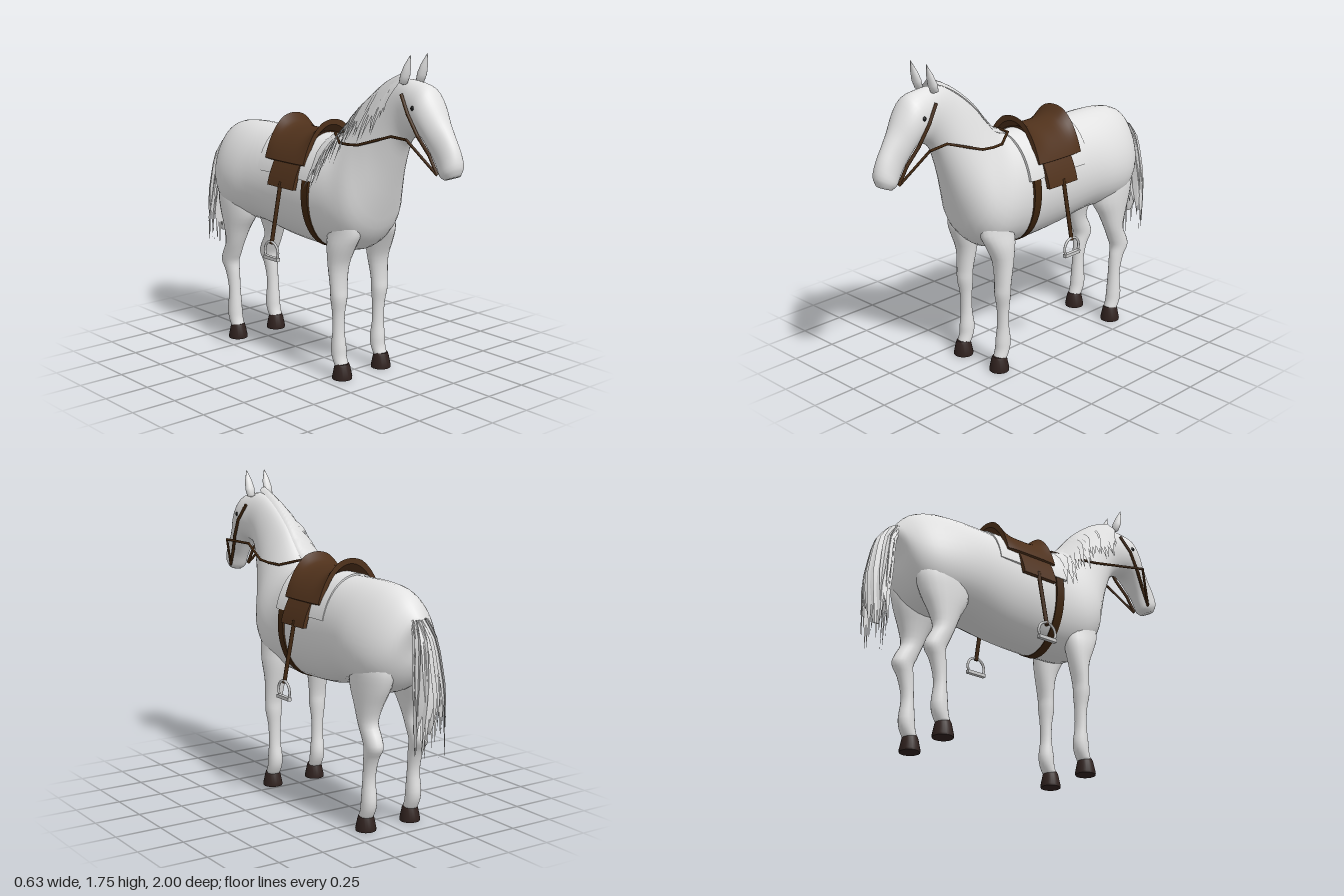
import * as THREE from 'three';
import { mergeGeometries, toCreasedNormals } from 'three/addons/utils/BufferGeometryUtils.js';

const V = (x, y, z) => new THREE.Vector3(x, y, z);

// Smooth skin through sections [z1, y1, z2, y2, halfWidth, centreX, pear]; pear narrows the first edge
function loft(sections, segs = 28) {
  const a = new THREE.CatmullRomCurve3(sections.map(s => V(s[0], s[1], s[4])));
  const b = new THREE.CatmullRomCurve3(sections.map(s => V(s[2], s[3], s[5] || 0)));
  const pears = new THREE.CatmullRomCurve3(sections.map((s, i) => V(s[6] || 0, i, 0)));
  const n = (sections.length - 1) * 3, pos = [], idx = [];
  for (let i = 0; i <= n; i++) {
    const p = a.getPoint(i / n), q = b.getPoint(i / n), pear = pears.getPoint(i / n).x;
    for (let j = 0; j < segs; j++) {
      const t = j / segs * Math.PI * 2, c = Math.cos(t) / 2;
      pos.push(q.z + Math.sin(t) * p.z * (1 - pear * c * 2),
        (p.y + q.y) / 2 + c * (p.y - q.y), (p.x + q.x) / 2 + c * (p.x - q.x));
      if (i < n) {
        const k = i * segs + j, m = i * segs + (j + 1) % segs;
        idx.push(k, k + segs, m, m, k + segs, m + segs);
      }
    }
  }
  // end caps
  for (const [i, flip] of [[0, false], [n, true]]) {
    const p = a.getPoint(i / n), q = b.getPoint(i / n), centre = pos.length / 3;
    pos.push(q.z, (p.y + q.y) / 2, (p.x + q.x) / 2);
    for (let j = 0; j < segs; j++) {
      const k = i * segs + j, m = i * segs + (j + 1) % segs;
      flip ? idx.push(centre, m, k) : idx.push(centre, k, m);
    }
  }
  return surface(pos, idx);
}

function surface(pos, idx) {
  const g = new THREE.BufferGeometry();
  g.setAttribute('position', new THREE.Float32BufferAttribute(pos, 3));
  g.setIndex(idx);
  g.computeVertexNormals();
  return g;
}

// Flat lock of hair along a path, tapering to a point
function ribbon(points, width, dir) {
  const curve = new THREE.CatmullRomCurve3(points), n = 8, pos = [], idx = [];
  for (let i = 0; i <= n; i++) {
    const t = i / n, p = curve.getPoint(t);
    const w = width * (t < 0.6 ? 1 : (1 - t) / 0.4) / 2;
    for (const s of [-1, 1]) pos.push(p.x + dir.x * w * s, p.y + dir.y * w * s, p.z + dir.z * w * s);
    if (i < n) { const k = i * 2; idx.push(k, k + 1, k + 2, k + 1, k + 3, k + 2); }
  }
  return surface(pos, idx);
}

// Curved sheet lying over the back, from zBack forward
function arch(rx, ry, thick, lowY, zBack, depth) {
  const a = Math.asin(lowY / ry), s = new THREE.Shape();
  s.absellipse(0, 0, rx, ry, a, Math.PI - a, false);
  s.absellipse(0, 0, rx - thick, ry - thick, Math.PI - a, a, true);
  const g = new THREE.ExtrudeGeometry(s, { depth, steps: 12, bevelEnabled: false, curveSegments: 24 });
  return g.translate(0, 0.965, zBack);
}

// Move every vertex by a rule
function reshape(g, rule) {
  const p = g.attributes.position, v = V(0, 0, 0);
  for (let i = 0; i < p.count; i++) {
    rule(v.fromBufferAttribute(p, i));
    p.setXYZ(i, v.x, v.y, v.z);
  }
  return g;
}

// Straight rods joining a chain of points
function rods(points, r) {
  const parts = [];
  for (let i = 1; i < points.length; i++) {
    const d = points[i].clone().sub(points[i - 1]);
    const g = new THREE.CylinderGeometry(r, r, d.length() + r, 8);
    g.applyQuaternion(new THREE.Quaternion().setFromUnitVectors(V(0, 1, 0), d.clone().normalize()));
    const m = points[i].clone().add(points[i - 1]).multiplyScalar(0.5);
    parts.push(g.translate(m.x, m.y, m.z));
  }
  return mergeGeometries(parts);
}

export function createModel() {
  const horse = new THREE.Group();
  horse.name = 'horse';
  const mat = (name, color, side = THREE.FrontSide) => {
    const m = new THREE.MeshStandardMaterial({ color, side });
    m.name = name;
    return m;
  };
  const coat = mat('coat', 0xe2e2e2), hair = mat('hair', 0xdedede, THREE.DoubleSide);
  const cloth = mat('cloth', 0xe4e4e4), leather = mat('saddleLeather', 0x4f311b);
  const strap = mat('strapLeather', 0x40260f), horn = mat('hoofHorn', 0x30221f);
  const metal = mat('metal', 0xcccccc), black = mat('eyeBlack', 0x101010);
  const add = (name, geo, m) => {
    const mesh = new THREE.Mesh(geo, m);
    mesh.name = name;
    horse.add(mesh);
  };
  let seed = 7;
  const rand = () => (seed = (seed * 16807) % 2147483647) / 2147483647;

  // Rump, barrel and chest, then neck and head, in one skin
  const trunk = [
    [-.86, 1.10, -.81, .96, .03], [-.835, 1.14, -.79, .86, .11, 0, .3], [-.77, 1.21, -.73, .76, .175, 0, .25],
    [-.68, 1.25, -.64, .71, .215, 0, .2], [-.55, 1.265, -.52, .71, .232, 0, .16], [-.4, 1.265, -.4, .71, .224, 0, .08],
    [-.2, 1.26, -.2, .675, .212], [0, 1.255, 0, .662, .21], [.13, 1.265, .17, .665, .206, 0, .08],
    [.2, 1.29, .33, .69, .203, 0, .25], [.27, 1.36, .43, .78, .185, 0, .38], [.34, 1.44, .49, .92, .145, 0, .38]];
  const neckAndHead = [
    [.42, 1.51, .54, 1.06, .113, 0, .28], [.49, 1.56, .585, 1.18, .094, 0, .2], [.56, 1.60, .625, 1.27, .084, 0, .1],
    [.63, 1.615, .665, 1.315, .083], [.71, 1.61, .705, 1.335, .092], [.79, 1.59, .75, 1.34, .098],
    [.84, 1.53, .785, 1.32, .092], [.89, 1.445, .82, 1.27, .074], [.94, 1.37, .85, 1.22, .06],
    [.98, 1.30, .87, 1.18, .058], [1, 1.225, .885, 1.16, .058], [.985, 1.175, .91, 1.147, .04]];
  add('body', loft([...trunk, ...neckAndHead], 36), coat);

  // Leg sections: [y, zFront, zBack, halfWidth, x]
  const foreSections = [[1, .37, .23, .05, .11], [.9, .40, .21, .06, .115], [.8, .415, .195, .064, .122],
    [.72, .38, .2, .066, .133], [.62, .335, .22, .058, .14], [.5, .325, .245, .05, .145],
    [.44, .328, .245, .047, .145], [.36, .315, .25, .036, .143], [.25, .312, .25, .034, .142],
    [.17, .322, .238, .04, .14], [.12, .325, .245, .04, .14], [.07, .34, .27, .038, .14]];
  const hindSections = [[1, -.54, -.72, .07, .1], [.85, -.46, -.765, .092, .11], [.75, -.465, -.742, .083, .12],
    [.66, -.515, -.7, .065, .132], [.57, -.555, -.675, .05, .14], [.5, -.585, -.71, .047, .14],
    [.45, -.605, -.725, .045, .14], [.39, -.6, -.69, .038, .14], [.28, -.595, -.66, .034, .14],
    [.17, -.585, -.672, .04, .14], [.12, -.58, -.665, .04, .14], [.07, -.565, -.64, .038, .14]];

  for (const s of [1, -1]) {
    const side = s > 0 ? 'left' : 'right';
    for (const [kind, sections, z] of [['Fore', foreSections, .309], ['Hind', hindSections, -.602]]) {
      add(side + kind + 'Leg', loft(sections.map(([y, f, b, w, x]) => [f, y, b, y, w, x * s]), 20), coat);
      const hoof = new THREE.LatheGeometry([[0, 0], [.053, 0], [.054, .012], [.042, .07], [.036, .084], [0, .084]]
        .map(p => new THREE.Vector2(...p)), 20);
      add(side + kind + 'Hoof', toCreasedNormals(hoof.translate(s * .14, 0, z), .7), horn);
    }

    // Ear, flattened and leaning forward
    const ear = new THREE.LatheGeometry([[.002, 0], [.024, .01], [.028, .05], [.02, .1], [0, .162]]
      .map(p => new THREE.Vector2(...p)), 14);
    ear.scale(1, 1, .75).rotateX(.33).translate(s * .058, 1.592, .655);
    add(side + 'Ear', ear, coat);
    add(side + 'Eye', new THREE.SphereGeometry(.013, 12, 8).translate(s * .09, 1.49, .76), black);

    // Bridle cheek strap and rein
    add(side + 'CheekStrap', rods([V(s * .085, 1.545, .675), V(s * .101, 1.46, .735), V(s * .091, 1.36, .795),
      V(s * .068, 1.27, .855), V(s * .06, 1.185, .9)], .009), strap);
    add(side + 'Rein', rods([V(s * .06, 1.18, .9), V(s * .15, 1.345, .78), V(s * .1, 1.335, .62),
      V(s * .143, 1.27, .42), V(s * .138, 1.262, .34), V(s * .12, 1.258, .26), V(s * .06, 1.288, .16),
      V(0, 1.292, .155)], .007), strap);

    // Stirrup leather, iron arch and tread
    add(side + 'StirrupLeather', rods([V(s * .237, 1.01, -.08), V(s * .3, .69, -.08)], .011), strap);
    const iron = new THREE.TorusGeometry(.055, .007, 8, 24, Math.PI * 1.3);
    iron.rotateZ(-Math.PI * .15).rotateY(Math.PI / 2).translate(s * .302, .644, -.08);
    add(side + 'StirrupIron', iron, metal);
    add(side + 'StirrupTread', new THREE.BoxGeometry(.022, .018, .115).translate(s * .302, .608, -.08), metal);
  }

  // Saddle cloth, flaring flaps, and seat with raised pommel and cantle
  add('saddleCloth', toCreasedNormals(arch(.221, .307, .014, .08, -.31, .45), .6), cloth);
  const flaps = reshape(arch(.224, .313, .02, .022, -.18, .215), v => {
    v.x *= 1 + .11 * THREE.MathUtils.clamp((1.13 - v.y) / .14, 0, 1);
  });
  add('saddleFlaps', toCreasedNormals(flaps, .6), leather);
  const seat = reshape(arch(.24, .32, .025, .155, -.255, .32), v => {
    const t = Math.abs((v.z + .095) / .16);
    v.y += .06 * t ** 4 * THREE.MathUtils.clamp((v.y - 1.12) / .15, 0, 1);
    v.x *= 1 - .04 * t ** 4;
  });
  add('saddleSeat', toCreasedNormals(seat, .6), leather);

  // Girth band around the barrel
  const band = new THREE.Shape(), hole = new THREE.Path();
  band.absellipse(0, 0, .219, .305, 0, Math.PI * 2);
  hole.absellipse(0, 0, .2, .285, 0, Math.PI * 2);
  band.holes.push(hole);
  const girth = new THREE.ExtrudeGeometry(band, { depth: .05, bevelEnabled: false, curveSegments: 32 });
  add('girth', toCreasedNormals(girth.translate(0, .963, .065), .6), strap);

  // Mane: ragged locks falling from the crest to the right side
  const crest = new THREE.CatmullRomCurve3([[.07, 1.625, .61], [.075, 1.605, .56], [.09, 1.567, .49],
    [.1, 1.517, .42], [.115, 1.447, .34], [.13, 1.367, .27], [.14, 1.297, .2], [.15, 1.272, .14]].map(q => V(...q)));
  const locks = [];
  for (let i = 0; i < 28; i++) {
    const t = i / 27, { x: w, y, z } = crest.getPoint(t), dir = crest.getTangent(t).setX(0).normalize();
    const len = .75 + rand() * .45, top = y + .014;
    locks.push(ribbon([V(.014, top - .02, z), V(-.01, top + .004, z), V(-w * .65, top - .03, z),
      V(-w - .012, top - .09 * len, z), V(-w - .05 * len, top - .16 * len, z - rand() * .02),
      V(-w - .085 * len, top - .25 * len, z - rand() * .035)], .055, dir));
  }
  add('mane', mergeGeometries(locks), hair);

  // Tail: solid core with loose locks around it
  add('tailCore', loft([[-.8, 1.13, -.85, 1.12, .03], [-.83, 1.06, -.915, 1.05, .042], [-.865, .92, -.95, .92, .055],
    [-.88, .77, -.97, .77, .055], [-.89, .65, -.965, .65, .035], [-.905, .56, -.94, .56, .005]], 16), hair);
  const strands = [];
  for (let i = 0; i < 26; i++) {
    const a = i / 26 * Math.PI * 2, c = Math.cos(a), s = Math.sin(a), tip = .42 + rand() * .22;
    const dir = V(-s, 0, c).applyAxisAngle(V(0, 1, 0), (rand() - .5) * 1.2);
    strands.push(ribbon([V(c * .03, 1.115, -.84 + s * .015), V(c * .048, 1.03, -.892 + s * .035),
      V(c * .064, .9, -.915 + s * .048), V(c * .08, .73, -.933 + s * .056),
      V(c * (.075 + rand() * .03), tip, -.932 + s * .045)], .048, dir));
  }
  add('tailStrands', mergeGeometries(strands), hair);
  return horse;
}
